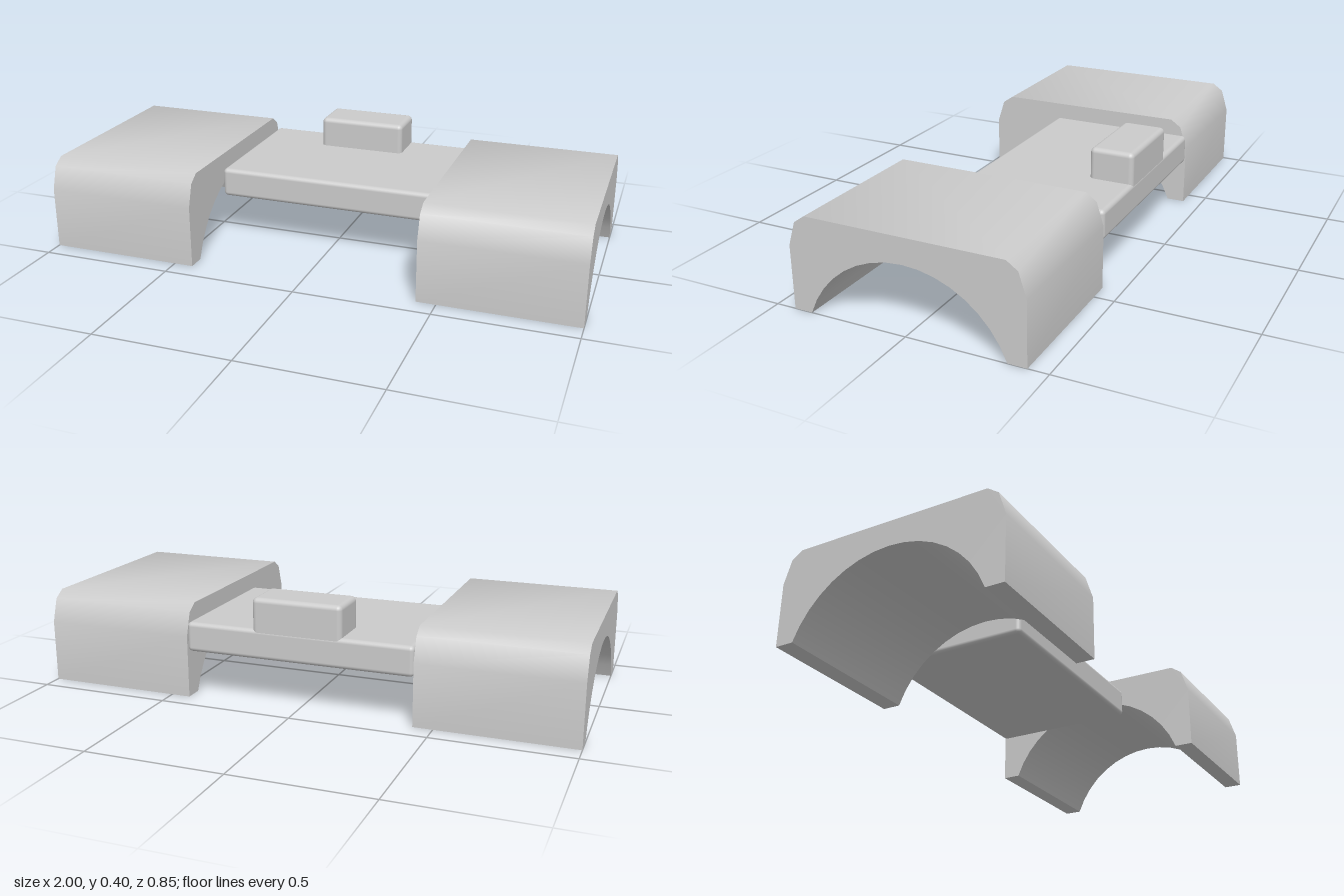
import * as THREE from 'three';
import { RoundedBoxGeometry } from 'three/addons/geometries/RoundedBoxGeometry.js';
import { toCreasedNormals } from 'three/addons/utils/BufferGeometryUtils.js';

const material = new THREE.MeshStandardMaterial({ color: 0xcccccc });

// Arched saddle block, extruded along x
function saddleGeometry(length) {
  const outer = [[0.427, 0], [0.427, 0.23], [0.4, 0.315], [0.36, 0.343]];
  const points = outer.map(([z, y]) => new THREE.Vector2(z, y));
  for (const [z, y] of [...outer].reverse()) points.push(new THREE.Vector2(-z, y));
  // Circular cut-out underneath
  const radius = 0.384, centreY = -0.134, half = Math.asin(0.36 / radius), steps = 16;
  for (let i = 0; i <= steps; i++) {
    const a = -half + (2 * half * i) / steps;
    points.push(new THREE.Vector2(radius * Math.sin(a), Math.max(0, centreY + radius * Math.cos(a))));
  }
  const geometry = new THREE.ExtrudeGeometry(new THREE.Shape(points), { depth: length, bevelEnabled: false });
  geometry.translate(0, 0, -length / 2).rotateY(Math.PI / 2);
  return toCreasedNormals(geometry, 0.8);
}

// Softly rounded box given by its minimum and maximum corners
function roundedBlock(name, min, max, radius) {
  const size = max.map((v, i) => v - min[i]);
  const mesh = new THREE.Mesh(new RoundedBoxGeometry(...size, 3, radius), material);
  mesh.position.set(...max.map((v, i) => (v + min[i]) / 2));
  mesh.name = name;
  return mesh;
}

export function createModel() {
  const group = new THREE.Group();
  group.name = 'bridgeClip';

  // Pair of arched saddles at the ends
  const saddle = saddleGeometry(0.572);
  for (const [name, side] of [['leftSaddle', 1], ['rightSaddle', -1]]) {
    const mesh = new THREE.Mesh(saddle, material);
    mesh.position.x = side * 0.714;
    mesh.name = name;
    group.add(mesh);
  }

  // Connecting plate and the raised tab at its back edge
  group.add(roundedBlock('connectingPlate', [-0.428, 0.175, -0.427], [0.428, 0.285, 0.14], 0.016));
  group.add(roundedBlock('raisedTab', [-0.168, 0.25, -0.426], [0.168, 0.4, -0.26], 0.018));
  return group;
}
